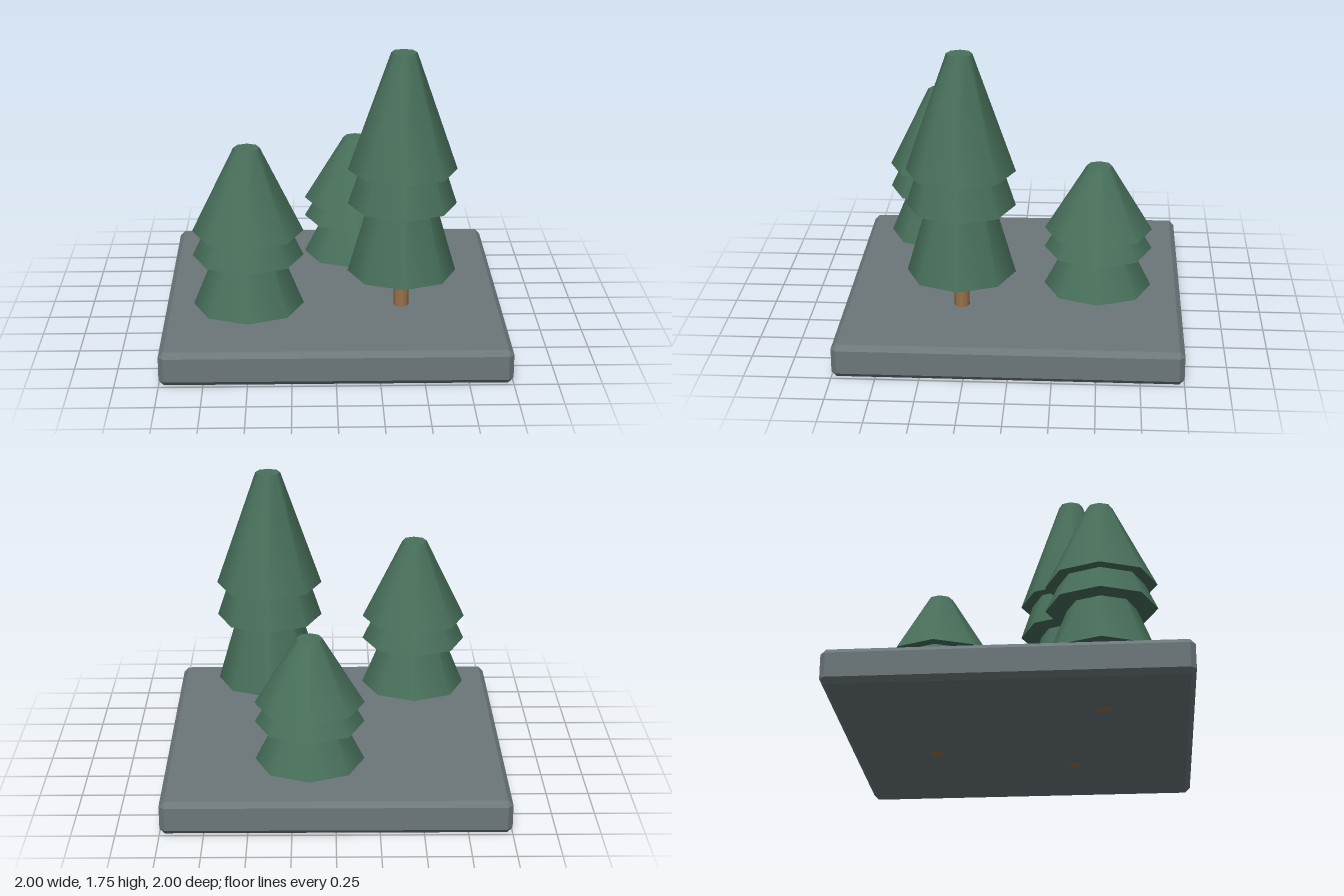
import * as THREE from 'three';
import { ConvexGeometry } from 'three/addons/geometries/ConvexGeometry.js';

const slate = new THREE.MeshStandardMaterial({ color: 0x6c777a, flatShading: true });
const needles = new THREE.MeshStandardMaterial({ color: 0x48705b });
const bark = new THREE.MeshStandardMaterial({ color: 0x9a724a });

// Box with every edge chamfered, standing on y = 0
function chamferedBox(w, h, d, c) {
  const points = [];
  for (const sx of [-1, 1]) for (const sy of [-1, 1]) for (const sz of [-1, 1]) {
    for (const [a, b, e] of [[0, c, c], [c, 0, c], [c, c, 0]]) {
      points.push(new THREE.Vector3(sx * (w / 2 - a), h / 2 + sy * (h / 2 - b), sz * (d / 2 - e)));
    }
  }
  return new ConvexGeometry(points);
}

// Upright eight-sided frustum between two heights
function frustum(name, rTop, rBottom, y0, y1, material) {
  const mesh = new THREE.Mesh(new THREE.CylinderGeometry(rTop, rBottom, y1 - y0, 8), material);
  mesh.name = name;
  mesh.position.y = (y0 + y1) / 2;
  return mesh;
}

// Tier heights are fractions of the tree's height; widths stay constant
function tree(name, x, z, height) {
  const group = new THREE.Group();
  group.name = name;
  group.position.set(x, 0, z);
  group.add(frustum('trunk', 0.045, 0.045, 0, 0.3 * height, bark));
  const tiers = [['lowerBranches', 0.24, 0.72], ['middleBranches', 0.48, 0.9], ['upperBranches', 0.6, 1]];
  for (const [part, from, to] of tiers) {
    group.add(frustum(part, 0.075, 0.32, from * height, to * height, needles));
  }
  return group;
}

export function createModel() {
  const model = new THREE.Group();
  model.name = 'forestTile';

  const base = new THREE.Mesh(chamferedBox(2, 0.2, 2, 0.03), slate);
  base.name = 'base';
  model.add(base);

  model.add(tree('tallTree', 0.4, 0.3, 1.75));
  model.add(tree('mediumTree', -0.5, 0.5, 1.25));
  model.add(tree('smallTree', 0.15, -0.5, 1));
  return model;
}
